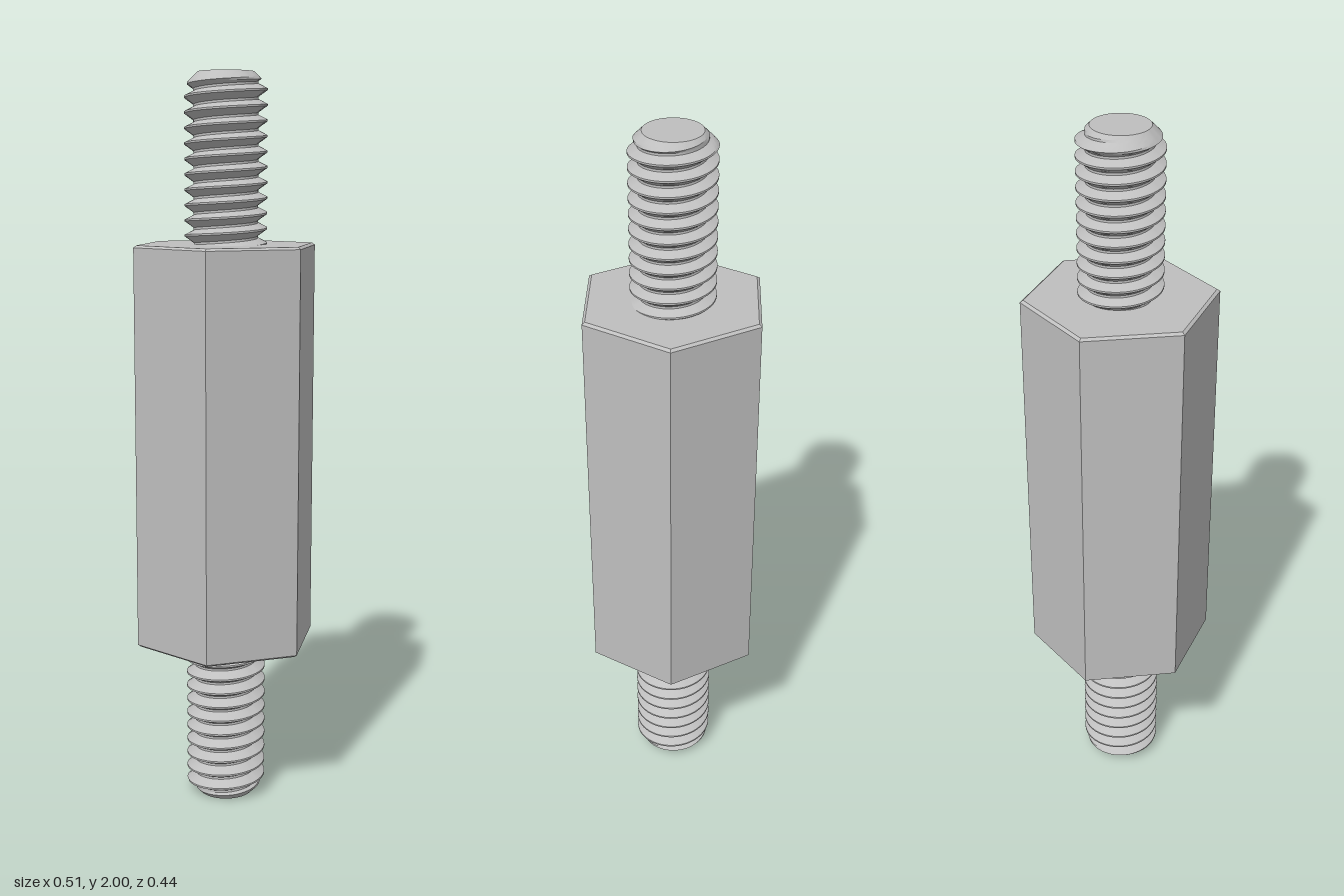
import * as THREE from 'three';
import { toCreasedNormals } from 'three/addons/utils/BufferGeometryUtils.js';

const CREST = 0.11, ROOT = 0.086, TIP = 0.075, PITCH = 0.04;
const LENGTH = 0.445, BODY_BOTTOM = 0.452, BODY_TOP = 1.553;

// Thread profile: [fraction of pitch, radius]
const PROFILE = [[0, ROOT], [0.15, ROOT], [0.3, 0.094], [0.44, 0.102], [0.58, CREST],
  [0.7, CREST], [0.8, 0.102], [0.9, 0.094]];

// Right-handed helical surface, clipped by a 45 degree chamfer at its upper end
function threadGeometry(y0, y1, sides = 64) {
  const pos = [], index = [];
  const first = Math.floor(y0 / PITCH) - 1, last = Math.ceil(y1 / PITCH) + 1;
  const rows = (last - first) * PROFILE.length;
  for (let j = 0; j <= rows; j++) {
    const [s, radius] = PROFILE[j % PROFILE.length];
    const turn = first + Math.floor(j / PROFILE.length) + s;
    for (let i = 0; i <= sides; i++) {
      const t = (i / sides) * Math.PI * 2;
      const y = THREE.MathUtils.clamp(PITCH * (turn + i / sides), y0, y1);
      const r = Math.min(radius, TIP + (y1 - y));
      pos.push(r * Math.sin(t), y, r * Math.cos(t));
    }
  }
  const heightOf = (k) => pos[k * 3 + 1];
  const addTriangle = (a, b, c) => {
    // Leave out triangles flattened by the end clipping
    const h = [heightOf(a), heightOf(b), heightOf(c)];
    if (Math.max(...h) - Math.min(...h) > 1e-7) index.push(a, b, c);
  };
  for (let j = 0; j < rows; j++) {
    for (let i = 0; i < sides; i++) {
      const a = j * (sides + 1) + i, b = a + 1, c = a + sides + 1, d = c + 1;
      addTriangle(a, b, d);
      addTriangle(a, d, c);
    }
  }
  const geometry = new THREE.BufferGeometry();
  geometry.setAttribute('position', new THREE.Float32BufferAttribute(pos, 3));
  geometry.setIndex(index);
  return toCreasedNormals(geometry, Math.PI / 7);
}

export function createModel() {
  const metal = new THREE.MeshStandardMaterial({ color: 0xbfbfbf });
  metal.name = 'grey metal';
  const model = new THREE.Group();
  model.name = 'threadedStandoff';

  const add = (parent, name, geometry) => {
    const mesh = new THREE.Mesh(geometry, metal);
    mesh.name = name;
    parent.add(mesh);
    return mesh;
  };

  // Hexagonal body with small chamfers at both ends
  const R = 0.256, inset = 0.0085, rise = 0.006;
  const outline = [
    [0, BODY_BOTTOM], [R - inset, BODY_BOTTOM], [R, BODY_BOTTOM + rise],
    [R, BODY_TOP - rise], [R - inset, BODY_TOP], [0, BODY_TOP],
  ].map(([x, y]) => new THREE.Vector2(x, y));
  const body = new THREE.LatheGeometry(outline, 6, Math.PI / 2).toNonIndexed();
  body.computeVertexNormals();
  add(model, 'hexBody', body);

  // Two threaded studs; the lower one is the upper one turned over
  const thread = threadGeometry(-0.02, LENGTH);
  for (const upper of [true, false]) {
    const stud = new THREE.Group();
    stud.name = upper ? 'upperStud' : 'lowerStud';
    add(stud, 'thread', thread);
    const tip = add(stud, 'tipFace', new THREE.CircleGeometry(TIP, 64));
    tip.rotation.x = -Math.PI / 2;
    tip.position.y = LENGTH;
    stud.position.y = upper ? 2 - LENGTH : LENGTH;
    if (!upper) stud.rotation.x = Math.PI;
    model.add(stud);
  }
  return model;
}
